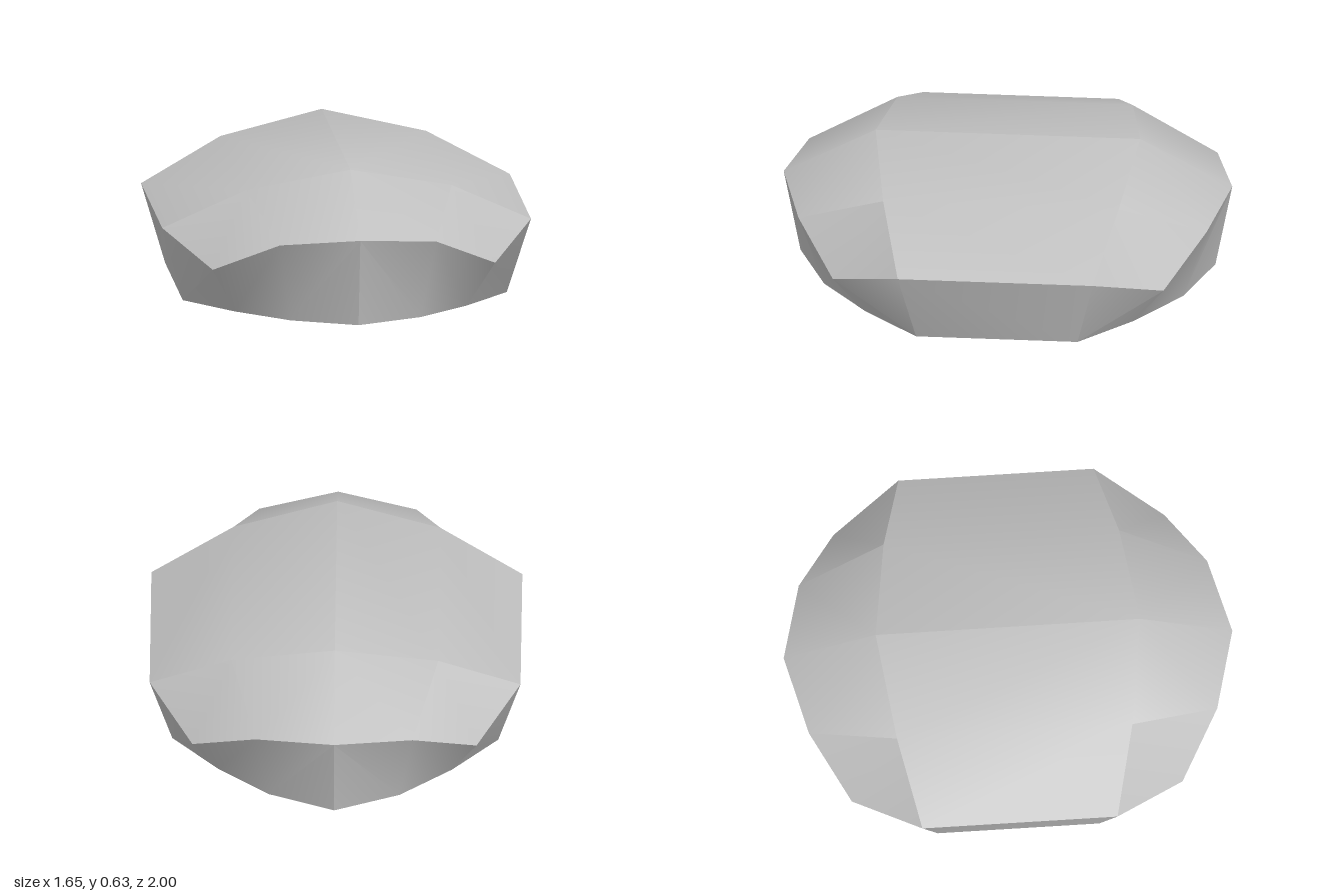
import * as THREE from 'three';
import { toCreasedNormals } from 'three/addons/utils/BufferGeometryUtils.js';

// One quarter (+x, +z) of the shell's corner points, from front centre to side
const RIM = [[0, 0.403, 1], [0.35, 0.37, 0.91], [0.632, 0.225, 0.737], [0.825, 0.35, 0.435]];
const BASE = [[0, 0, 0.925], [0.29, 0, 0.8], [0.52, 0, 0.6], [0.725, 0, 0.36]];
const RIDGE = [0, 0.632, 0.59];
const SHOULDER = [0.46, 0.535, 0.525];

const back = ([x, y, z]) => [x, y, -z];

// Mirrors triangles along one axis, keeping them facing outward
function mirror(tris, axis) {
  const flipped = tris.map(([a, b, c]) =>
    [a, c, b].map((p) => p.map((v, i) => (i === axis ? -v : v))));
  return [...tris, ...flipped];
}

const quad = (a, b, c, d) => [[a, b, c], [a, c, d]];

// quarter: corner faces mirrored front to back; middle: faces spanning front to back
function shellMesh(name, quarter, middle, material) {
  const tris = mirror([...mirror(quarter, 2), ...middle], 0);
  const geometry = new THREE.BufferGeometry();
  geometry.setAttribute('position', new THREE.Float32BufferAttribute(tris.flat(2), 3));
  const mesh = new THREE.Mesh(toCreasedNormals(geometry, Math.PI / 6), material);
  mesh.name = name;
  return mesh;
}

export function createModel() {
  const group = new THREE.Group();
  group.name = 'facetedShell';
  const grey = new THREE.MeshStandardMaterial({ color: 0xbfbfbf, side: THREE.DoubleSide });
  grey.name = 'grey';

  // Domed top with a straight ridge and dipped corners
  const domeQuarter = [
    ...quad(RIDGE, RIM[0], RIM[1], SHOULDER),
    [SHOULDER, RIM[1], RIM[2]],
    [SHOULDER, RIM[2], RIM[3]],
  ];
  const domeMiddle = [
    ...quad(RIDGE, SHOULDER, back(SHOULDER), back(RIDGE)),
    ...quad(SHOULDER, RIM[3], back(RIM[3]), back(SHOULDER)),
  ];
  group.add(shellMesh('dome', domeQuarter, domeMiddle, grey));

  // Wall tapering to the open base
  const wallQuarter = [0, 1, 2].flatMap((i) => quad(RIM[i], BASE[i], BASE[i + 1], RIM[i + 1]));
  const wallMiddle = quad(RIM[3], BASE[3], back(BASE[3]), back(RIM[3]));
  group.add(shellMesh('sideWall', wallQuarter, wallMiddle, grey));

  return group;
}
